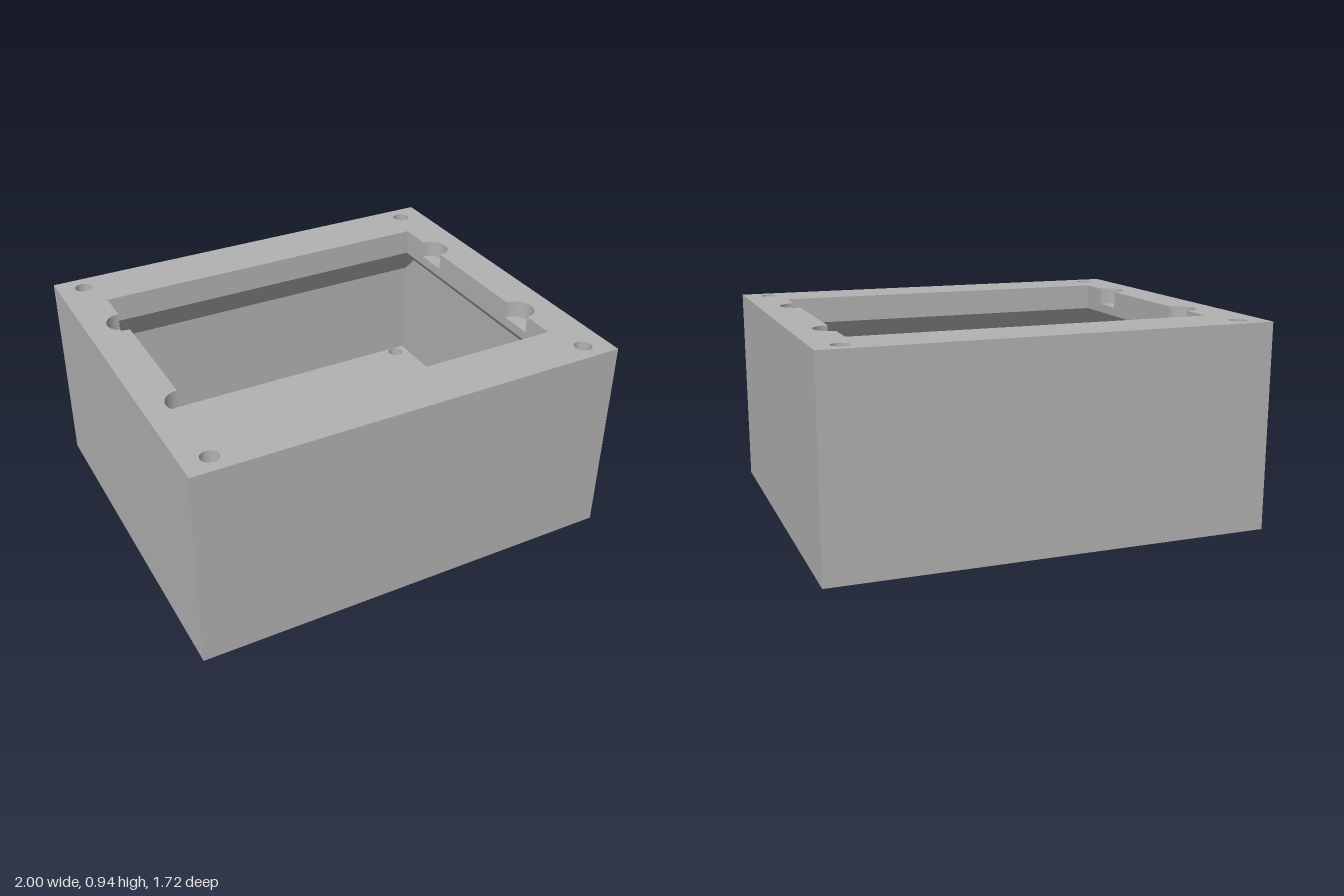
import * as THREE from 'three';
import { toCreasedNormals } from 'three/addons/utils/BufferGeometryUtils.js';

const TOP = 0.94, FLOOR = 0.1, LIP = 0.816, LEDGE = 0.86;
const V = (x, z) => new THREE.Vector2(x, z);

// Outlines in (x, z); this order makes lofted walls face inward
const rect = (w, d) => [V(-w, -d), V(w, -d), V(w, d), V(-w, d)];
const arc = (cx, cz, r, from, sweep, n) => Array.from({ length: n + 1 }, (_, i) => {
  const a = from + (sweep * i) / n;
  return V(cx + r * Math.cos(a), cz + r * Math.sin(a));
});
const circle = (x, z, r, n = 32) => arc(x, z, r, 0, Math.PI * 2, n).slice(0, n);

// Walls joining a stack of outlines: [[y, points], ...]
function loft(rings) {
  const pos = [];
  for (let k = 0; k + 1 < rings.length; k++) {
    const [y0, p] = rings[k], [y1, q] = rings[k + 1];
    for (let i = 0; i < p.length; i++) {
      const j = (i + 1) % p.length;
      pos.push(p[i].x, y0, p[i].y, p[j].x, y0, p[j].y, q[j].x, y1, q[j].y);
      pos.push(p[i].x, y0, p[i].y, q[j].x, y1, q[j].y, q[i].x, y1, q[i].y);
    }
  }
  const g = new THREE.BufferGeometry();
  g.setAttribute('position', new THREE.Float32BufferAttribute(pos, 3));
  return toCreasedNormals(g, 0.5);
}

// Flat horizontal face with holes, facing up or down
function plate(outline, holes, y, up = true) {
  const flip = (pts) => pts.map((p) => V(p.x, up ? -p.y : p.y));
  const shape = new THREE.Shape(flip(outline));
  shape.holes = holes.map((h) => new THREE.Path(flip(h)));
  return new THREE.ShapeGeometry(shape).rotateX(up ? -Math.PI / 2 : Math.PI / 2).translate(0, y, 0);
}

export function createModel() {
  const model = new THREE.Group();
  const grey = new THREE.MeshStandardMaterial({ color: 0xb2b2b2 });
  grey.name = 'grey plastic';
  const add = (name, geometry) => {
    const mesh = new THREE.Mesh(geometry, grey);
    mesh.name = name;
    model.add(mesh);
  };

  const outer = rect(1, 0.86), cavity = rect(0.95, 0.81), opening = rect(0.82, 0.6);

  // Hole layouts
  const corners = [], floorHoles = [];
  for (const sx of [-1, 1]) {
    floorHoles.push(circle(sx * 0.4, 0, 0.37, 64));
    for (const sz of [-1, 1]) {
      corners.push(circle(sx * 0.88, sz * 0.77, 0.04));
      for (const off of [-0.32, 0.32]) floorHoles.push(circle(sx * 0.4 + off, sz * 0.32, 0.04));
    }
  }
  floorHoles.push(...corners);

  // Opening outline with finger notches in both short sides
  const notch = (x, z) => arc(x, z, 0.08, x > 0 ? -Math.PI / 2 : Math.PI / 2, Math.PI, 20);
  const notches = [notch(0.82, -0.365), notch(0.82, 0.365), notch(-0.82, 0.365), notch(-0.82, -0.365)];
  const notched = [opening[0], opening[1], ...notches[0], ...notches[1],
    opening[2], opening[3], ...notches[2], ...notches[3]];

  // Outside
  add('outerWalls', loft([[0, [...outer].reverse()], [TOP, [...outer].reverse()]]));
  add('topRim', plate(outer, [notched, ...corners], TOP));
  add('underside', plate(outer, floorHoles, 0, false));

  // Inside: straight walls, sloped undercut, then the lip
  add('innerWalls', loft([
    [FLOOR, cavity], [0.606, cavity], [0.686, rect(0.95, 0.73)], [LIP, opening], [LEDGE, opening],
  ]));
  add('openingWalls', loft([[LEDGE, notched], [TOP, notched]]));
  notches.forEach((n) => add('notchLedge', plate(n, [], LEDGE)));
  add('floor', plate(cavity, floorHoles, FLOOR));

  // Bores through the floor and blind screw holes in the rim
  floorHoles.forEach((h, i) => add(h.length > 32 ? 'fanHole' : 'floorHole', loft([[0, h], [FLOOR, h]])));
  corners.forEach((h) => {
    add('screwHole', loft([[0.74, h], [TOP, h]]));
    add('screwHoleEnd', plate(h, [], 0.74));
  });
  return model;
}
